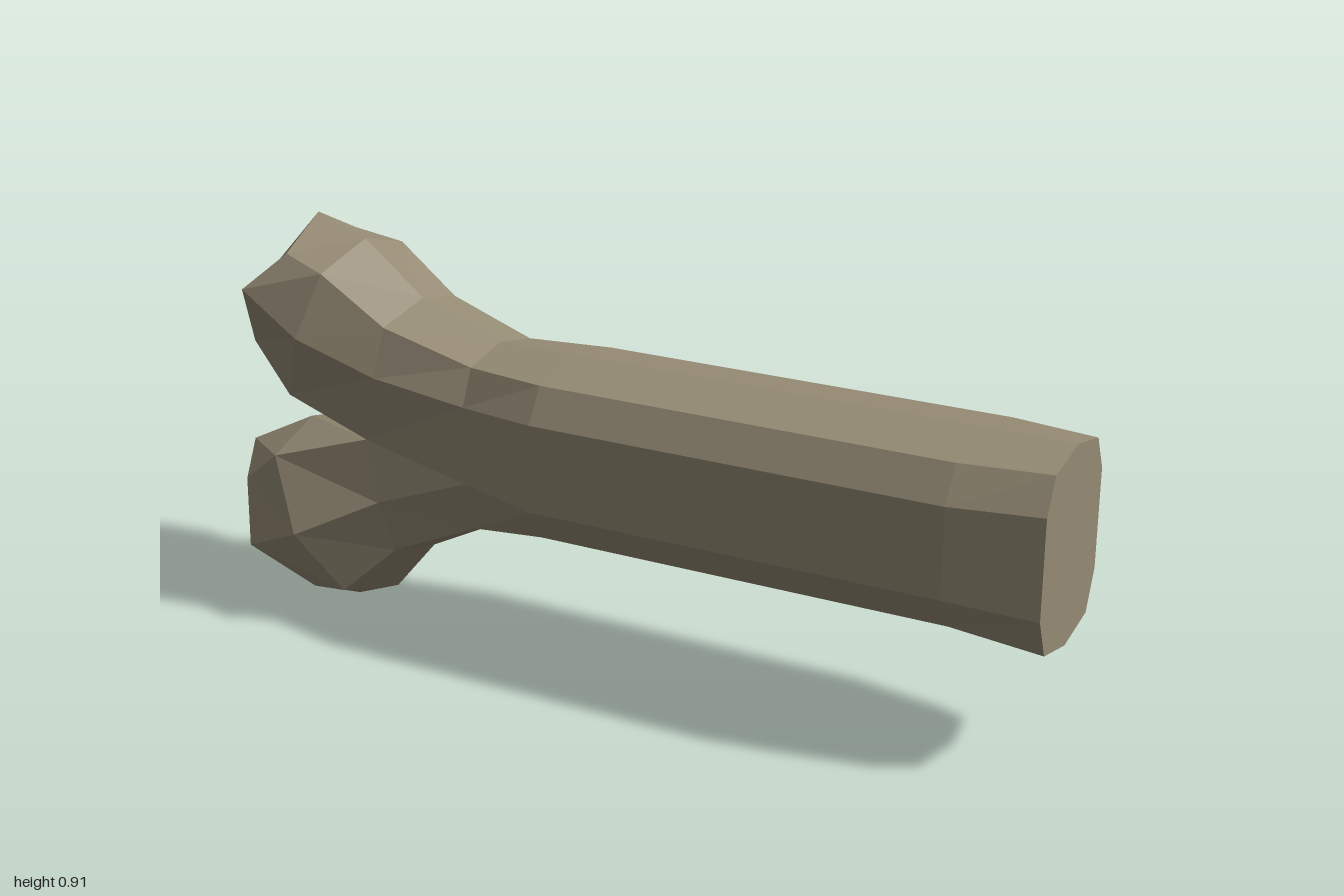
import * as THREE from 'three';

const material = new THREE.MeshStandardMaterial({ color: 0x958b75, flatShading: true });

// Skins half cross-sections (z >= 0) into strips and mirrors them across z = 0.
// Sections run from right to left; each lists points from the top down (flip: bottom up).
function skin(name, sections, cap, flip = false) {
  const positions = [];
  const tri = (a, b, c) => {
    if (flip) [b, c] = [c, b];
    positions.push(...a, ...b, ...c);
    for (const [x, y, z] of [a, c, b]) positions.push(x, y, -z);
  };
  for (let i = 0; i < sections.length - 1; i++) {
    const p = sections[i], q = sections[i + 1];
    for (let j = 0; j < Math.min(p.length, q.length) - 1; j++) {
      tri(p[j], q[j], q[j + 1]);
      tri(p[j], q[j + 1], p[j + 1]);
    }
  }
  // End cap as a fan around its centre
  const end = cap.section;
  for (let j = 0; j < end.length - 1; j++) {
    if (cap.facesRight) tri(cap.centre, end[j], end[j + 1]);
    else tri(cap.centre, end[j + 1], end[j]);
  }
  const geometry = new THREE.BufferGeometry();
  geometry.setAttribute('position', new THREE.Float32BufferAttribute(positions, 3));
  geometry.computeVertexNormals();
  const mesh = new THREE.Mesh(geometry, material);
  mesh.name = name;
  return mesh;
}

// Half of a ten-sided shaft section
const shaftSection = (x, bottom, width, shoulder, sideTop, sideBottom) => [
  [x, 0.68, 0], [x, 0.655, shoulder], [x, sideTop, width],
  [x, sideBottom, width], [x, bottom + 0.025, shoulder], [x, bottom, 0],
];

export function createModel() {
  const group = new THREE.Group();
  group.name = 'bone';

  // Long shaft, slightly pinched at both ends
  const shaft = [
    shaftSection(1, 0.255, 0.157, 0.12, 0.58, 0.365),
    shaftSection(0.81, 0.288, 0.195, 0.15, 0.58, 0.385),
    shaftSection(-0.12, 0.288, 0.195, 0.15, 0.58, 0.385),
    shaftSection(-0.31, 0.26, 0.155, 0.12, 0.575, 0.4),
  ];
  group.add(skin('shaft', shaft, { section: shaft[0], centre: [1, 0.465, 0], facesRight: true }));

  // Both knobs start at the shaft neck and meet in the cleft
  const neck = shaft[3];
  const neckMiddle = [-0.31, 0.465, 0.155];
  const cleft = [[-0.57, 0.455, 0.15], [-0.65, 0.455, 0]];

  const upper = [
    [neck[0], neck[1], neck[2], neckMiddle],
    [[-0.51, 0.75, 0], [-0.52, 0.717, 0.14], [-0.53, 0.61, 0.172], ...cleft],
    [[-0.66, 0.865, 0], [-0.67, 0.82, 0.155], [-0.71, 0.68, 0.205], [-0.775, 0.525, 0.15], [-0.79, 0.51, 0]],
    [[-0.785, 0.91, 0], [-0.78, 0.845, 0.13], [-0.865, 0.765, 0.185], [-0.88, 0.63, 0.13], [-0.932, 0.6, 0]],
  ];
  group.add(skin('upperKnob', upper, { section: upper[3], centre: [-0.905, 0.78, 0] }));

  const lower = [
    [neck[5], neck[4], neck[3], neckMiddle],
    [[-0.5, 0.165, 0], [-0.51, 0.2, 0.14], [-0.53, 0.32, 0.172], ...cleft],
    [[-0.605, 0.042, 0], [-0.63, 0.09, 0.175], [-0.72, 0.227, 0.232], [-0.81, 0.38, 0.17], [-0.83, 0.42, 0]],
    [[-0.715, 0, 0], [-0.73, 0.07, 0.15], [-0.86, 0.168, 0.213], [-0.91, 0.3, 0.15], [-1, 0.335, 0]],
  ];
  group.add(skin('lowerKnob', lower, { section: lower[3], centre: [-0.9, 0.15, 0] }, true));

  return group;
}
